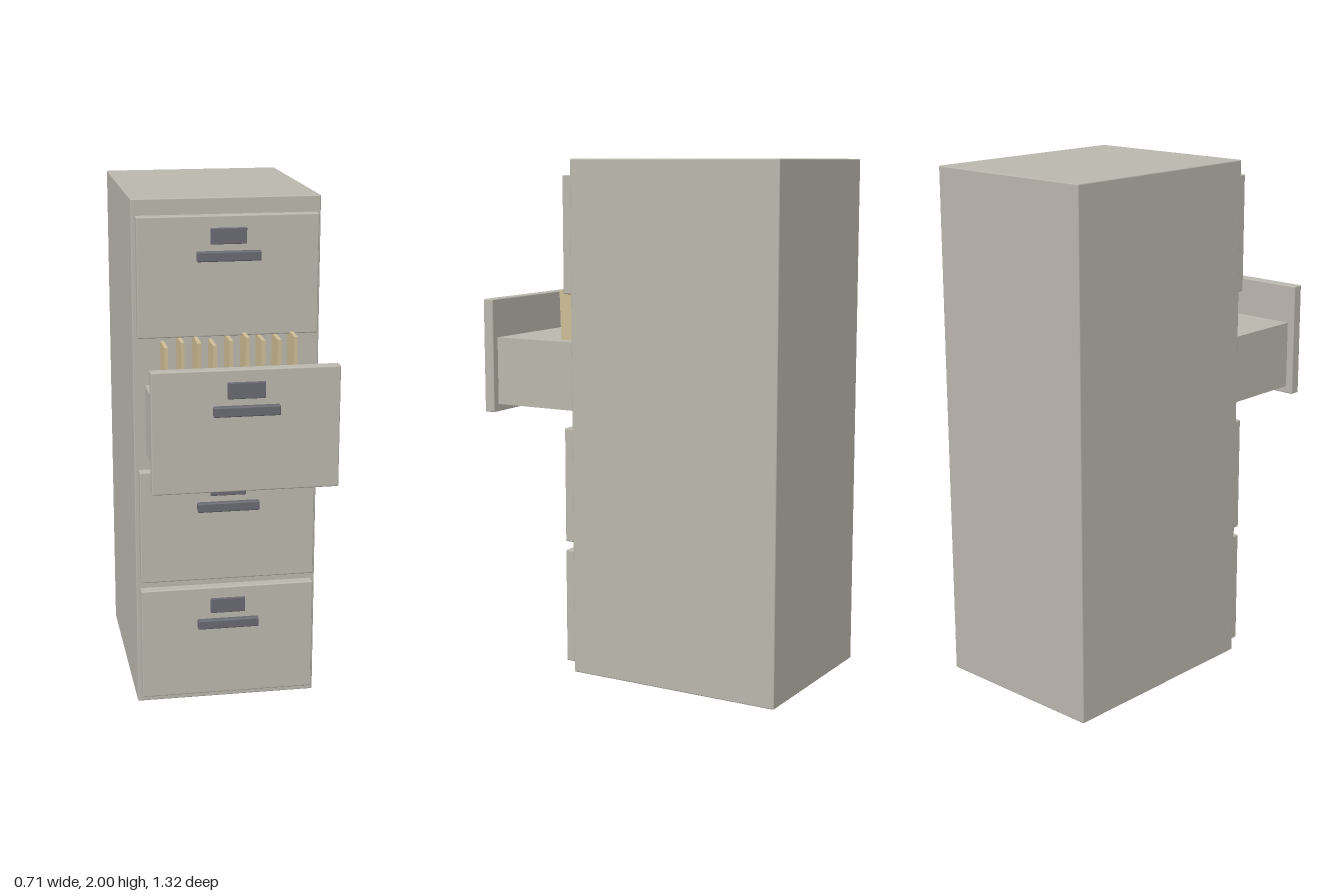
import * as THREE from 'three';
import { RoundedBoxGeometry } from 'three/addons/geometries/RoundedBoxGeometry.js';

const paint = new THREE.MeshStandardMaterial({ color: 0xbab6ad });
const darkMetal = new THREE.MeshStandardMaterial({ color: 0x686a72 });
const card = new THREE.MeshStandardMaterial({ color: 0xcdbd95 });

// Box given by its min and max corners, with an optional edge radius
function block(name, [x0, y0, z0], [x1, y1, z1], material, radius = 0) {
  const size = [x1 - x0, y1 - y0, z1 - z0];
  const geometry = radius
    ? new RoundedBoxGeometry(...size, 2, radius)
    : new THREE.BoxGeometry(...size);
  const mesh = new THREE.Mesh(geometry, material);
  mesh.position.set((x0 + x1) / 2, (y0 + y1) / 2, (z0 + z1) / 2);
  mesh.name = name;
  return mesh;
}

// Drawer front with its label holder and pull, standing on y = 0 with its back at z = 0
function drawerFace() {
  const face = new THREE.Group();
  face.add(
    block('drawerFront', [-0.34, 0, 0], [0.34, 0.45, 0.044], paint, 0.005),
    block('labelHolder', [-0.068, 0.345, 0.038], [0.068, 0.405, 0.053], darkMetal, 0.003),
    block('handle', [-0.12, 0.283, 0.038], [0.12, 0.32, 0.066], darkMetal, 0.005)
  );
  return face;
}

// Upright card leaning slightly about its bottom edge
function folder(x, top, lean, front) {
  const pivot = new THREE.Group();
  pivot.name = 'folder';
  pivot.add(block('folderCard', [-0.007, 0, -0.2], [0.007, top - 1.28, 0], card));
  pivot.position.set(x, 1.28, front);
  pivot.rotation.x = lean;
  return pivot;
}

export function createModel() {
  const model = new THREE.Group();
  model.name = 'filingCabinet';
  model.add(block('cabinetBody', [-0.355, 0, -0.66], [0.355, 2, 0.215], paint, 0.005));

  // Four drawers, the second from the top pulled out
  for (let i = 0; i < 4; i++) {
    const open = i === 2;
    const drawer = new THREE.Group();
    drawer.name = open ? 'openDrawer' : 'closedDrawer';
    const face = drawerFace();
    face.name = 'drawerFace';
    face.position.set(0, 0.036 + i * 0.4845, open ? 0.594 : 0.215);
    drawer.add(face);
    if (open) {
      drawer.add(block('drawerBox', [-0.31, 1.035, 0.2], [0.31, 1.302, 0.6], paint));
      // Row of hanging folders with uneven heights and leans
      const tops = [1.47, 1.488, 1.485, 1.47, 1.488, 1.498, 1.485, 1.485, 1.495];
      const leans = [0, 0.02, 0.07, 0.01, 0.01, 0.03, 0.01, 0.02, 0.03];
      tops.forEach((top, k) => drawer.add(folder(-0.244 + k * 0.0605, top, leans[k], 0.332)));
    }
    model.add(drawer);
  }
  return model;
}
